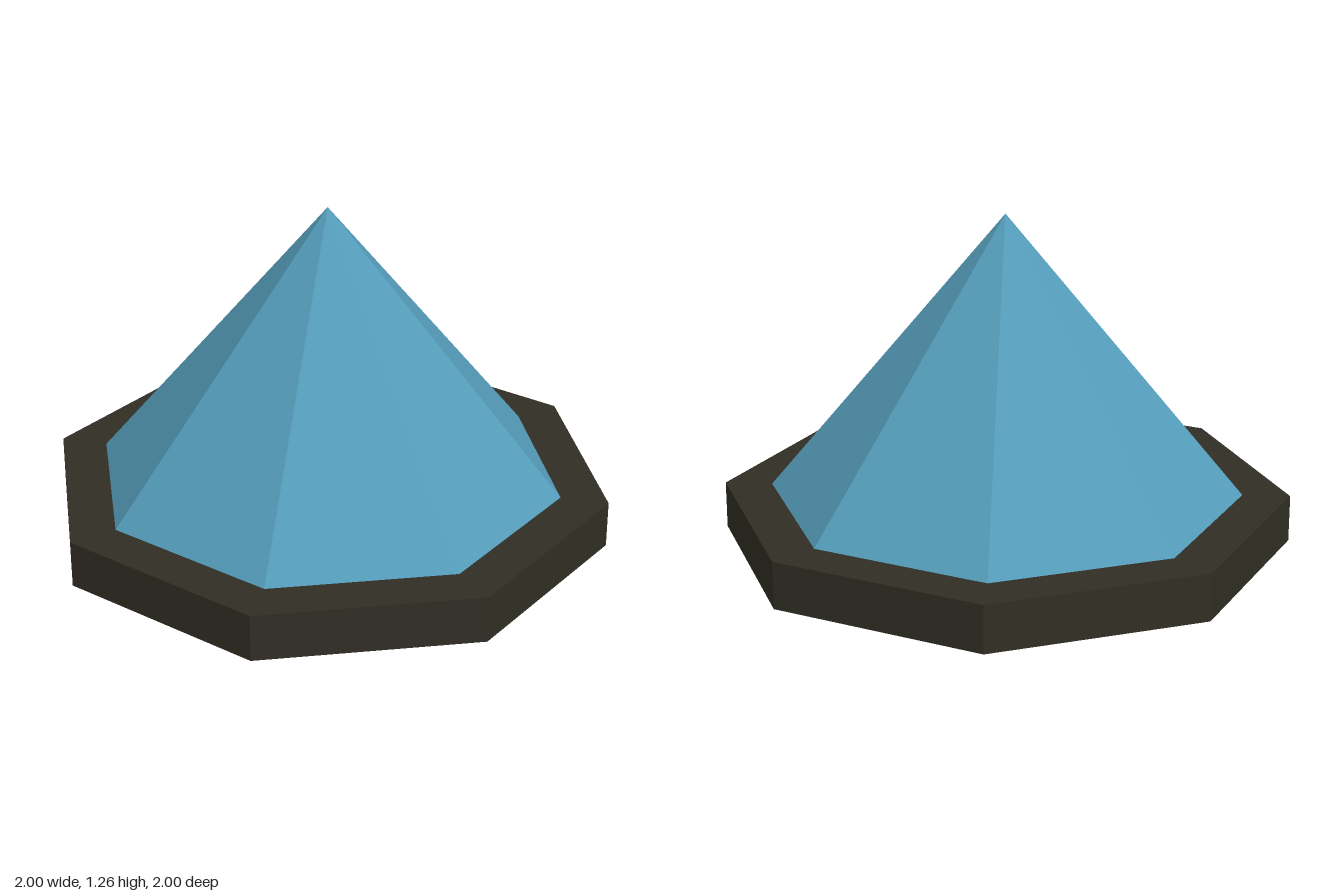
import * as THREE from 'three';

const SIDES = 8;
const BASE_HEIGHT = 0.18;
const TOTAL_HEIGHT = 1.26;

// Octagonal solid with flat sides facing the axes; radii measured to the flats
function octagon(name, topFlat, bottomFlat, y0, y1, material) {
  const toCorner = 1 / Math.cos(Math.PI / SIDES);
  const geometry = new THREE.CylinderGeometry(
    topFlat * toCorner, bottomFlat * toCorner, y1 - y0, SIDES, 1, false, Math.PI / SIDES
  ).toNonIndexed();
  geometry.computeVertexNormals();
  geometry.translate(0, (y0 + y1) / 2, 0);
  const mesh = new THREE.Mesh(geometry, material);
  mesh.name = name;
  return mesh;
}

export function createModel() {
  const darkBase = new THREE.MeshStandardMaterial({ name: 'darkBase', color: 0x302e24, flatShading: true });
  const blueGlass = new THREE.MeshStandardMaterial({ name: 'blueGlass', color: 0x549cba, flatShading: true });
  const group = new THREE.Group();
  group.name = 'octagonalSkylight';
  // Flat slab and the pyramid standing on it
  group.add(octagon('baseSlab', 1, 1, 0, BASE_HEIGHT, darkBase));
  group.add(octagon('pyramid', 0, 0.833, BASE_HEIGHT, TOTAL_HEIGHT, blueGlass));
  return group;
}
